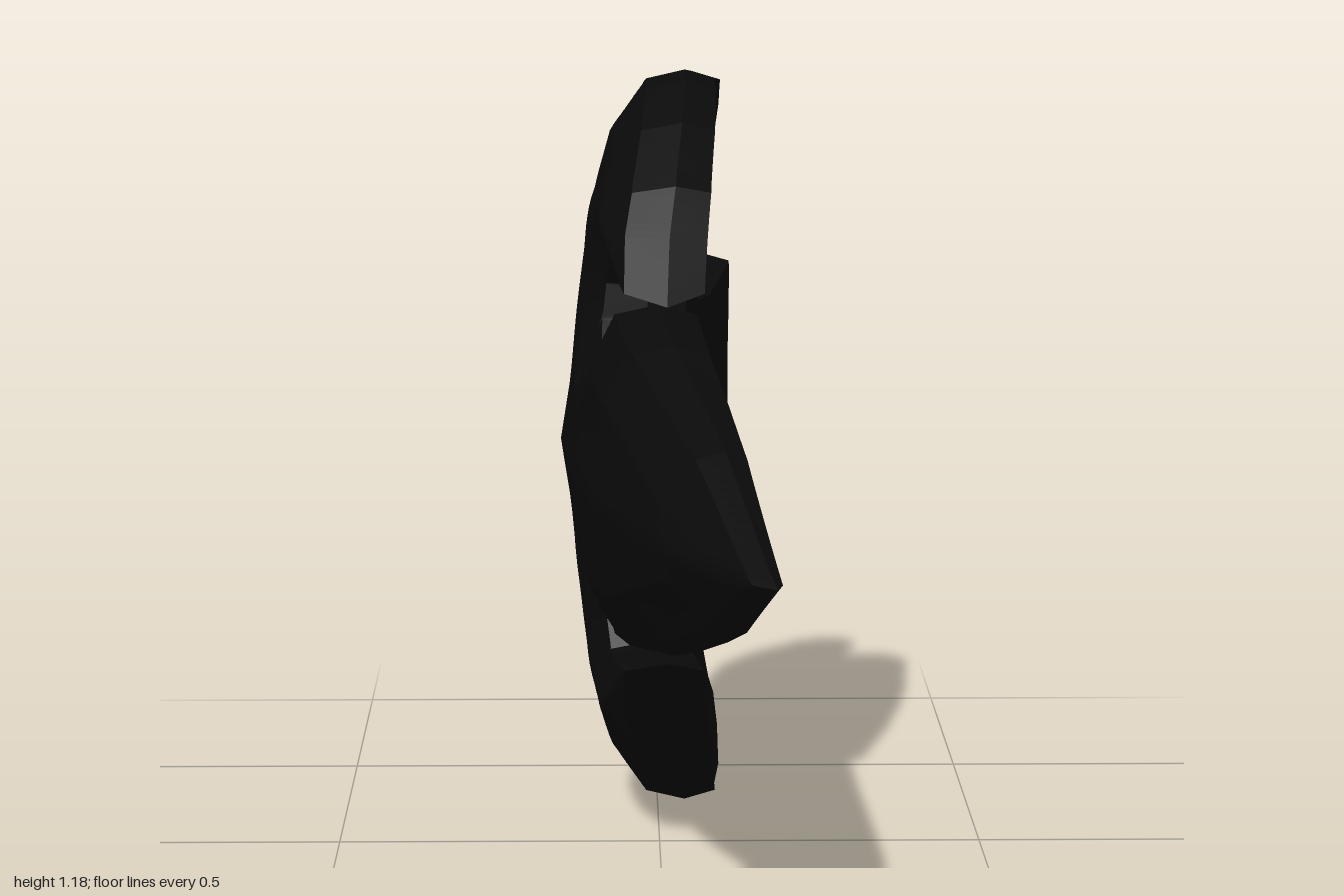
import * as THREE from 'three';
import { mergeVertices } from 'three/addons/utils/BufferGeometryUtils.js';

const MID = 0.59; // height of the symmetry line
const INSET = 0.014; // width of the chamfer along the rim
const STEPS = 16; // pieces per outline edge, matches four subdivisions

// Upper half of the outline as [z, height above the symmetry line], tip to tail
const HALF = [
  [1, 0], [0.68, 0.135], [0.5, 0.185], [0.3, 0.232], [0.05, 0.262], [-0.05, 0.197],
  [-0.11, 0.193], [-0.142, 0.22], [-0.145, 0.265], [-0.125, 0.297], [-0.08, 0.295],
  [0.17, 0.272], [0.03, 0.44], [-0.1, 0.525], [-0.23, 0.58], [-0.32, 0.59],
  [-0.42, 0.58], [-0.51, 0.53], [-0.55, 0.47], [-0.52, 0.435], [-0.51, 0.35],
  [-0.53, 0.27], [-0.56, 0.225], [-0.6, 0.197], [-0.7, 0.193], [-0.84, 0.235],
  [-0.91, 0.2], [-0.975, 0.11], [-1, 0],
];

// Depth of the domed side along z, and its fall-off with height
const RIDGE = [[-1, 0.02], [-0.95, 0.01], [-0.82, -0.06], [-0.55, -0.115], [-0.3, -0.155],
  [0, -0.14], [0.27, -0.11], [0.45, -0.07], [0.68, -0.01], [0.95, 0.07], [1, 0.09]];
const FALL = [[0, 0], [0.1, 0.016], [0.2, 0.025], [0.37, 0.045], [0.46, 0.07], [0.57, 0.1], [0.6, 0.105]];
// Depth of the hollow side along z
const HOLLOW = [[-1, 0.135], [-0.83, 0.12], [-0.7, 0.088], [-0.55, 0.055], [-0.3, 0.025],
  [0, 0.04], [0.3, 0.06], [0.68, 0.11], [1, 0.155]];

function lerpTable(table, t) {
  for (let i = 1; i < table.length; i++) {
    const [a, va] = table[i - 1], [b, vb] = table[i];
    if (t <= b) return va + (vb - va) * Math.max(0, (t - a) / (b - a));
  }
  return table[table.length - 1][1];
}

// Full outline in (u = -z, v = height), counter-clockwise
function makeOutline() {
  const lower = HALF.map(([z, h]) => new THREE.Vector2(-z, -h));
  const upper = HALF.slice(1, -1).reverse().map(([z, h]) => new THREE.Vector2(-z, h));
  return lower.concat(upper);
}

// Outline moved inwards with mitred corners
function insetOutline(outline) {
  const n = outline.length;
  const inward = (a, b) => new THREE.Vector2(a.y - b.y, b.x - a.x).normalize();
  return outline.map((p, i) => {
    const n1 = inward(outline[(i + n - 1) % n], p);
    const n2 = inward(p, outline[(i + 1) % n]);
    const mitre = n1.clone().add(n2).normalize();
    return p.clone().addScaledVector(mitre, INSET / Math.max(0.35, mitre.dot(n1)));
  });
}

function edgeDistance(p, outline) {
  let best = Infinity;
  outline.forEach((a, i) => {
    const d = outline[(i + 1) % outline.length].clone().sub(a);
    const t = THREE.MathUtils.clamp(p.clone().sub(a).dot(d) / d.lengthSq(), 0, 1);
    best = Math.min(best, p.distanceTo(a.clone().addScaledVector(d, t)));
  });
  return best;
}

// Split every triangle in four
function subdivide(tris) {
  const mid = (a, b) => a.clone().add(b).multiplyScalar(0.5);
  return tris.flatMap(([a, b, c]) => {
    const ab = mid(a, b), bc = mid(b, c), ca = mid(c, a);
    return [[a, ab, ca], [ab, b, bc], [ca, bc, c], [ab, bc, ca]];
  });
}

export function createModel() {
  const group = new THREE.Group();
  const black = new THREE.MeshStandardMaterial({ color: 0x0a0a0a });
  black.name = 'black';

  const outline = makeOutline();
  const inset = insetOutline(outline);

  // Depth rules of the hollow side, the domed side and the rim between them
  const innerX = (p) => lerpTable(HOLLOW, -p.x) + 0.2 * p.y * p.y;
  const outerX = (p) => {
    const bevel = 0.04 * Math.max(0, 1 - edgeDistance(p, outline) / 0.09);
    const x = lerpTable(RIDGE, -p.x) + lerpTable(FALL, Math.abs(p.y)) + bevel;
    return Math.min(x, innerX(p) - 0.02);
  };
  const rimX = (p) => (innerX(p) + outerX(p)) / 2;
  // the blade rises very slightly towards its tip
  const place = (p, rule) =>
    new THREE.Vector3(rule(p), MID + p.y + 0.01 * Math.max(0, -p.x), -p.x);

  let tris = THREE.ShapeUtils.triangulateShape(inset, []).map((f) => f.map((i) => inset[i]));
  // keep a consistent turn
  tris = tris.map(([a, b, c]) =>
    (b.clone().sub(a).cross(c.clone().sub(a)) < 0 ? [a, c, b] : [a, b, c]));
  for (let s = 1; s < STEPS; s *= 2) tris = subdivide(tris);

  const addPart = (name, points, smooth) => {
    let g = new THREE.BufferGeometry().setFromPoints(points);
    if (smooth) g = mergeVertices(g, 1e-5);
    g.computeVertexNormals();
    const mesh = new THREE.Mesh(g, black);
    mesh.name = name;
    group.add(mesh);
  };

  // Two broad sides
  addPart('hollowFace', tris.flatMap((t) => t.map((p) => place(p, innerX))), true);
  addPart('domedFace', tris.flatMap(([a, b, c]) => [a, c, b].map((p) => place(p, outerX))), true);

  // Rim wall, chamfered towards both sides
  const loop = (points, rule) => points.flatMap((a, i) => {
    const b = points[(i + 1) % points.length];
    return Array.from({ length: STEPS }, (_, k) => place(a.clone().lerp(b, k / STEPS), rule));
  });
  const loops = [loop(inset, outerX), loop(outline, rimX), loop(inset, innerX)];
  const wall = [];
  for (let r = 0; r < 2; r++) {
    const lo = loops[r], hi = loops[r + 1];
    lo.forEach((p, i) => {
      const j = (i + 1) % lo.length;
      wall.push(p, lo[j], hi[j], p, hi[j], hi[i]);
    });
  }
  addPart('rimWall', wall, false);

  return group;
}
